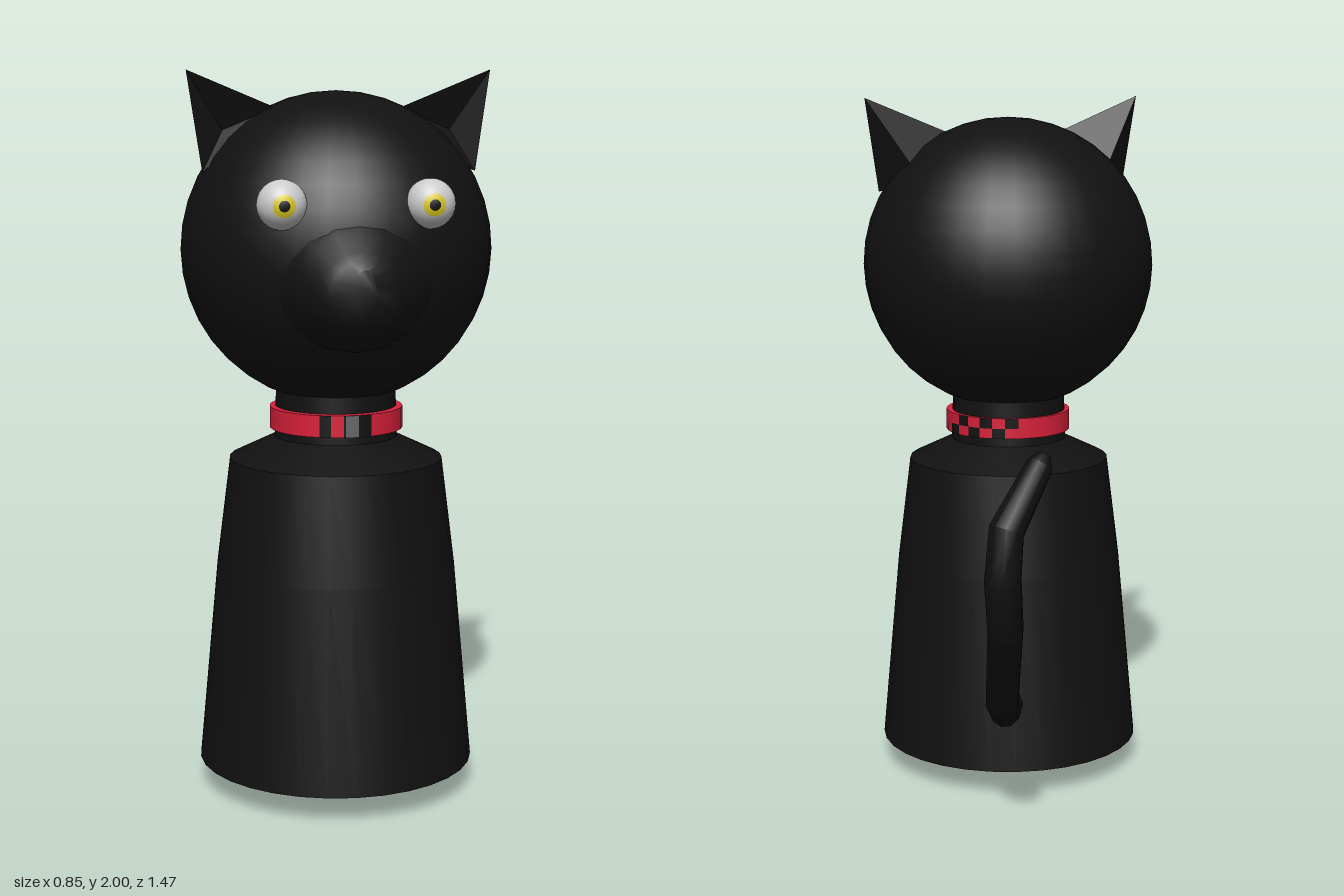
import * as THREE from 'three';
import { toCreasedNormals } from 'three/addons/utils/BufferGeometryUtils.js';

const AXIS_Z = 0.225;
const paint = (color, extra = {}) => new THREE.MeshStandardMaterial({ color, ...extra });
const fur = paint(0x111111);
const earFur = paint(0x111111, { side: THREE.DoubleSide, flatShading: true });
const red = paint(0xd9203a);
const dark = paint(0x111111);
const steel = paint(0x666666);
const white = paint(0xcccccc);
const yellow = paint(0xd8c81e);

function add(parent, name, geometry, material, x = 0, y = 0, z = 0) {
  const mesh = new THREE.Mesh(geometry, material);
  mesh.name = name;
  mesh.position.set(x, y, z);
  parent.add(mesh);
  return mesh;
}

// Closed skin over a row of elliptical rings { c, u, v } with flat end caps
function loft(rings, n) {
  const pos = [], index = [];
  for (const { c, u, v } of rings) {
    for (let j = 0; j < n; j++) {
      const a = (j / n) * Math.PI * 2;
      const p = c.clone().addScaledVector(u, Math.cos(a)).addScaledVector(v, Math.sin(a));
      pos.push(p.x, p.y, p.z);
    }
  }
  const last = (rings.length - 1) * n;
  for (let j = 0; j < n; j++) {
    const k = (j + 1) % n;
    for (let i = 0; i < last; i += n) {
      index.push(i + j, i + k, i + n + k, i + j, i + n + k, i + n + j);
    }
    if (j > 0 && j < n - 1) index.push(0, k, j, last, last + j, last + k);
  }
  const g = new THREE.BufferGeometry();
  g.setAttribute('position', new THREE.Float32BufferAttribute(pos, 3));
  g.setIndex(index);
  return toCreasedNormals(g, 0.7);
}

function tailGeometry() {
  const path = [
    [0.07, 0.27, -0.06], [0.12, 0.29, -0.2], [0.17, 0.37, -0.37], [0.23, 0.67, -0.65],
    [0.245, 0.81, -0.682], [0.235, 0.94, -0.682], [0.13, 1.09, -0.615], [0.115, 1.115, -0.605],
  ].map(p => new THREE.Vector3(...p));
  const radii = [0.05, 0.05, 0.051, 0.053, 0.055, 0.053, 0.04, 0.022];
  const rings = path.map((c, i) => {
    const t = path[Math.min(i + 1, path.length - 1)].clone().sub(path[Math.max(i - 1, 0)]).normalize();
    const u = new THREE.Vector3(1, 0, 0).addScaledVector(t, -t.x).normalize();
    const v = t.clone().cross(u);
    return { c, u: u.multiplyScalar(radii[i] * 0.9), v: v.multiplyScalar(radii[i]) };
  });
  return loft(rings, 10);
}

function muzzleGeometry() {
  // z, bottom, top, half width
  const sections = [
    [0.5, 1.27, 1.7, 0.27], [0.59, 1.28, 1.65, 0.2], [0.65, 1.305, 1.6, 0.16],
    [0.7, 1.33, 1.55, 0.115], [0.722, 1.355, 1.53, 0.09], [0.74, 1.385, 1.51, 0.03],
  ];
  return loft(sections.map(([z, lo, hi, w]) => ({
    c: new THREE.Vector3(0, (lo + hi) / 2, z),
    u: new THREE.Vector3(w, 0, 0),
    v: new THREE.Vector3(0, (hi - lo) / 2, 0),
  })), 16);
}

function earGeometry() {
  const tip = [0.41, 2.0, 0.29], inner = [0.17, 1.9, 0.27], outer = [0.37, 1.73, 0.3];
  const back = [0.27, 1.77, 0.16], hollow = [0.31, 1.84, 0.24];
  const faces = [
    tip, inner, hollow, tip, hollow, outer, inner, outer, hollow,
    inner, tip, back, tip, outer, back,
  ];
  const g = new THREE.BufferGeometry();
  g.setAttribute('position', new THREE.Float32BufferAttribute(faces.flat(), 3));
  g.computeVertexNormals();
  return g;
}

// Cap of a sphere turned to look forward
const cap = (r, angle) =>
  new THREE.SphereGeometry(r, 20, 6, 0, Math.PI * 2, 0, angle).rotateX(Math.PI / 2);

export function createModel() {
  const cat = new THREE.Group();
  cat.name = 'cat';

  // Body, shoulders and neck
  const profile = [
    [0, 0.005], [0.2, 0.025], [0.385, 0.08], [0.333, 0.64], [0.295, 0.94],
    [0.17, 1.0], [0.165, 1.16],
  ].map(p => new THREE.Vector2(...p));
  add(cat, 'body', toCreasedNormals(new THREE.LatheGeometry(profile, 32), 0.5), fur, 0, 0, AXIS_Z);

  // Head and tail
  add(cat, 'head', new THREE.SphereGeometry(0.425, 32, 20), fur, 0, 1.52, AXIS_Z);
  add(cat, 'muzzle', muzzleGeometry(), fur);
  add(cat, 'tail', tailGeometry(), fur);

  // Mirrored ears and eyes
  for (const side of [1, -1]) {
    const name = side > 0 ? 'left' : 'right';
    add(cat, name + 'Ear', earGeometry(), earFur).scale.x = side;
    const eye = new THREE.Group();
    eye.name = name + 'Eye';
    eye.position.set(side * 0.192, 1.662, 0.585);
    add(eye, 'eyeball', new THREE.SphereGeometry(0.065, 24, 16), white);
    add(eye, 'iris', cap(0.0656, 0.46), yellow);
    add(eye, 'pupil', cap(0.0663, 0.22), dark);
    cat.add(eye);
  }

  // Collar with buckle patches in front and studs at the back
  const collar = new THREE.Group();
  collar.name = 'collar';
  collar.position.set(0, 1.055, 0.233);
  add(collar, 'strap', new THREE.CylinderGeometry(0.184, 0.184, 0.06, 32), red);
  const patch = (name, material, start, length, h = 0.06, y = 0, r = 0.186) =>
    add(collar, name, new THREE.CylinderGeometry(r, r, h, 6, 1, true, start, length), material, 0, y, 0);
  patch('strapGap', dark, -0.39, 0.17);
  patch('buckleFrame', dark, -0.03, 0.42);
  patch('buckle', steel, 0, 0.19, 0.06, 0, 0.187);
  for (let i = 0; i < 6; i++) {
    patch('stud', dark, 1.8 + i * 0.21, 0.21, 0.03, i % 2 ? 0.015 : -0.015);
  }
  cat.add(collar);

  return cat;
}
